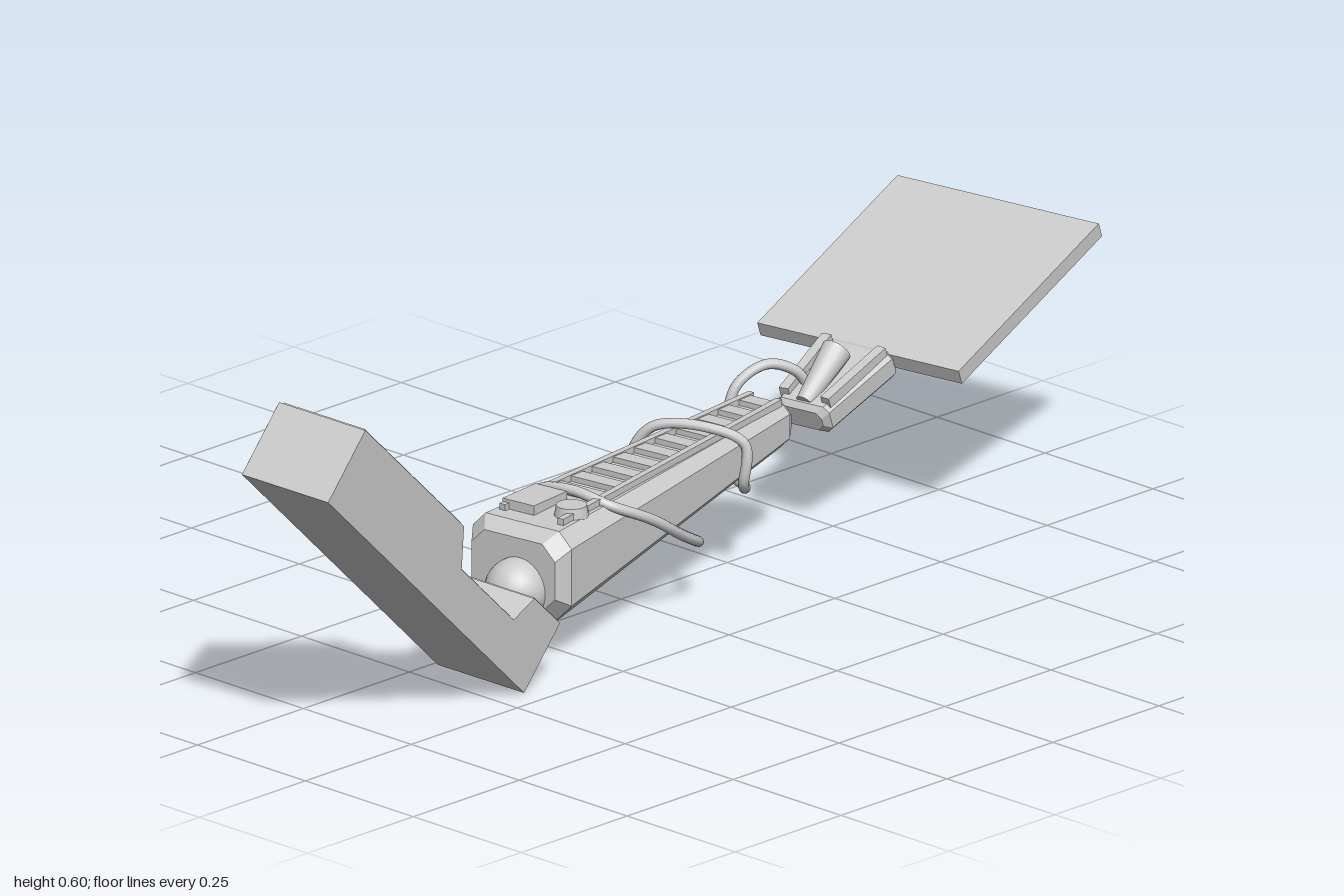
import * as THREE from 'three';

const mat = new THREE.MeshStandardMaterial({ color: 0xcccccc, side: THREE.DoubleSide });
const V = (x, y, z) => new THREE.Vector3(x, y, z);

function add(parent, name, geo, x = 0, y = 0, z = 0) {
  const m = new THREE.Mesh(geo, mat);
  m.name = name;
  m.position.set(x, y, z);
  parent.add(m);
  return m;
}

const box = (parent, name, w, h, d, x, y, z) => add(parent, name, new THREE.BoxGeometry(w, h, d), x, y, z);

// Straight bar between two points, w across and h high
function beam(parent, name, p, q, w, h) {
  const m = box(parent, name, w, h, p.distanceTo(q), 0, 0, 0);
  m.position.copy(p).add(q).multiplyScalar(0.5);
  m.quaternion.setFromRotationMatrix(new THREE.Matrix4().lookAt(q, p, V(0, 1, 0)));
  return m;
}

// Chamfered rectangular section at depth z
function ring({ z, hw, lo, hi, ct, cb }) {
  return [
    V(-hw + cb, lo, z), V(hw - cb, lo, z), V(hw, lo + cb, z), V(hw, hi - ct, z),
    V(hw - ct, hi, z), V(-hw + ct, hi, z), V(-hw, hi - ct, z), V(-hw, lo + cb, z),
  ];
}

// Faceted skin over sections ordered from +z to -z
function loft(sections) {
  const rings = sections.map(ring), pos = [];
  const tri = (...p) => p.forEach(v => pos.push(v.x, v.y, v.z));
  const n = rings[0].length, last = rings[rings.length - 1];
  for (let i = 0; i < rings.length - 1; i++) {
    for (let j = 0; j < n; j++) {
      const k = (j + 1) % n, a = rings[i], b = rings[i + 1];
      tri(a[j], b[j], b[k]);
      tri(a[j], b[k], a[k]);
    }
  }
  for (let j = 1; j < n - 1; j++) {
    tri(rings[0][0], rings[0][j], rings[0][j + 1]);
    tri(last[0], last[j + 1], last[j]);
  }
  const g = new THREE.BufferGeometry();
  g.setAttribute('position', new THREE.Float32BufferAttribute(pos, 3));
  g.computeVertexNormals();
  return g;
}

// Group with its own axes
function frame(root, name, origin, x, z) {
  const g = new THREE.Group();
  g.name = name;
  x.normalize();
  const y = z.clone().cross(x).normalize();
  z.crossVectors(x, y);
  g.quaternion.setFromRotationMatrix(new THREE.Matrix4().makeBasis(x, y, z));
  g.position.copy(origin);
  root.add(g);
  return g;
}

// Notched front block: local x runs along it, z across it
function buildFrontBlock(root) {
  const g = frame(root, 'frontBlock', V(0.207, 0.002, 0.44), V(0.076, 0.487, 0.535), V(-0.182, 0.01, 0.02));
  const D = 0.183;
  const shape = new THREE.Shape([
    [0, 0], [0.735, 0], [0.735, 0.138], [0.365, 0.138], [0.315, 0.08], [0.12, 0.08], [0.095, 0.133], [0, 0.133],
  ].map(p => new THREE.Vector2(...p)));
  add(g, 'blockBody', new THREE.ExtrudeGeometry(shape, { depth: D, bevelEnabled: false }));
  // Plating on the upper face and one side
  const plates = (from, to, count, top) => {
    const step = (to - from) / count;
    for (let i = 0; i < count; i++) {
      const x = from + step * (i + 0.5);
      box(g, 'topPlate', step - 0.008, 0.004, D - 0.012, x, top + 0.001, D / 2);
      box(g, 'sidePlate', step - 0.008, top - 0.012, 0.004, x, top / 2, D + 0.001);
    }
  };
  plates(0.365, 0.735, 4, 0.138);
  plates(0.122, 0.315, 5, 0.08);
  plates(0.002, 0.094, 1, 0.133);
  const knob = add(g, 'hingeKnob', new THREE.CylinderGeometry(0.022, 0.022, 0.02, 16), 0.05, 0.09, D + 0.008);
  knob.rotation.x = Math.PI / 2;
}

function buildArm(root) {
  const g = new THREE.Group();
  g.name = 'arm';
  g.position.set(0.029, 0, 0);
  g.rotation.y = 0.128;
  root.add(g);
  // Taper rules along the arm
  const t = z => (0.3 - z) / 0.68;
  const hw = z => 0.102 - 0.056 * t(z);
  const hi = z => 0.232 + 0.022 * t(z);
  const lo = z => 0.062 + 0.116 * t(z);
  const sec = (z, inset = 0) => ({
    z, hw: hw(z) - inset, lo: lo(z) + inset, hi: hi(z) - inset,
    ct: 0.026 - 0.012 * t(z), cb: 0.045 - 0.024 * t(z),
  });
  add(g, 'armBody', loft([sec(0.33, 0.018), sec(0.305), sec(-0.365), sec(-0.385, 0.01)]));

  // Ladder of rungs on top, narrowing to the rear
  const topX = z => hw(z) * 0.6;
  for (const s of [-1, 1]) {
    beam(g, 'topRail', V(s * topX(0.28), hi(0.28) + 0.004, 0.28), V(s * topX(-0.36), hi(-0.36) + 0.004, -0.36), 0.012, 0.014);
  }
  for (let i = 0; i < 10; i++) {
    const z = 0.15 - i * 0.054;
    box(g, 'topRung', 2 * topX(z), 0.014, 0.03, 0, hi(z) + 0.002, z);
  }
  // Ladder of rungs on the side
  const sideY = (z, f) => lo(z) + (hi(z) - lo(z)) * f;
  for (const f of [0.36, 0.8]) {
    beam(g, 'sideRail', V(-hw(0.27) - 0.002, sideY(0.27, f), 0.27), V(-hw(-0.34) - 0.002, sideY(-0.34, f), -0.34), 0.012, 0.01);
  }
  for (let i = 0; i < 11; i++) {
    const z = 0.24 - i * 0.055;
    box(g, 'sideRung', 0.012, (hi(z) - lo(z)) * 0.44, 0.026, -hw(z), sideY(z, 0.58), z);
  }
  // Equipment at the front of the arm
  add(g, 'topKnob', new THREE.CylinderGeometry(0.026, 0.03, 0.022, 16), 0.045, hi(0.23) + 0.006, 0.23);
  box(g, 'topBox', 0.065, 0.02, 0.09, -0.035, hi(0.22) + 0.005, 0.225);
  box(g, 'sideBox', 0.02, 0.05, 0.05, -hw(0.2) - 0.006, sideY(0.2, 0.62), 0.2);
  add(g, 'ballJoint', new THREE.SphereGeometry(0.055, 24, 16), 0.012, 0.125, 0.335);
}

// Tilted rear plate with its wrist mount
function buildRearPlate(root) {
  const g = frame(root, 'rearPlate', V(-0.052, 0.362, -0.777), V(0.408, 0.002, -0.06), V(0.063, -0.145, 0.39));
  box(g, 'plate', 0.412, 0.026, 0.42, 0, -0.013, 0);
  box(g, 'plateSupport', 0.11, 0.01, 0.27, 0, -0.031, 0.1);
  const sec = (z, w, inset = 0) => ({ z, hw: w - inset, lo: -0.046 + inset, hi: 0.006 - inset, ct: 0.01, cb: 0.012 });
  add(g, 'wristMount', loft([sec(0.385, 0.05, 0.008), sec(0.375, 0.053), sec(0.215, 0.072), sec(0.2, 0.072, 0.008)]));
  for (const s of [-1, 1]) {
    beam(g, 'wristRail', V(s * 0.042, 0.009, 0.365), V(s * 0.056, 0.009, 0.215), 0.018, 0.018);
  }
  const p = V(0, 0.002, 0.37), q = V(0, 0.032, 0.262);
  const cone = add(g, 'wristCone', new THREE.CylinderGeometry(0.026, 0.015, p.distanceTo(q), 16));
  cone.position.copy(p).lerp(q, 0.5);
  cone.quaternion.setFromUnitVectors(V(0, 1, 0), q.clone().sub(p).normalize());
}

function cable(root, name, pts) {
  const curve = new THREE.CatmullRomCurve3(pts.map(p => V(...p)));
  add(root, name, new THREE.TubeGeometry(curve, pts.length * 10, 0.009, 10));
}

export function createModel() {
  const root = new THREE.Group();
  root.name = 'jointedArm';
  buildFrontBlock(root);
  buildArm(root);
  buildRearPlate(root);
  // Long cable winding around the arm
  cable(root, 'windingCable', [
    [-0.04, 0.19, 0.2], [-0.02, 0.235, 0.18], [0.05, 0.25, 0.17], [0.12, 0.235, 0.15], [0.148, 0.2, 0.08],
    [0.14, 0.15, 0], [0.1, 0.108, -0.08], [0.02, 0.105, -0.1], [-0.055, 0.14, -0.1], [-0.075, 0.21, -0.1],
    [-0.045, 0.263, -0.12], [0.03, 0.268, -0.17], [0.08, 0.24, -0.21], [0.077, 0.17, -0.21],
    [0.03, 0.142, -0.26], [-0.04, 0.15, -0.29], [-0.06, 0.18, -0.33], [-0.04, 0.2, -0.34],
  ]);
  // Short cable bridging arm and wrist
  cable(root, 'wristCable', [
    [-0.05, 0.2, -0.31], [-0.085, 0.21, -0.335], [-0.085, 0.265, -0.36], [-0.065, 0.293, -0.41],
    [-0.04, 0.275, -0.455], [-0.03, 0.235, -0.48],
  ]);
  return root;
}
